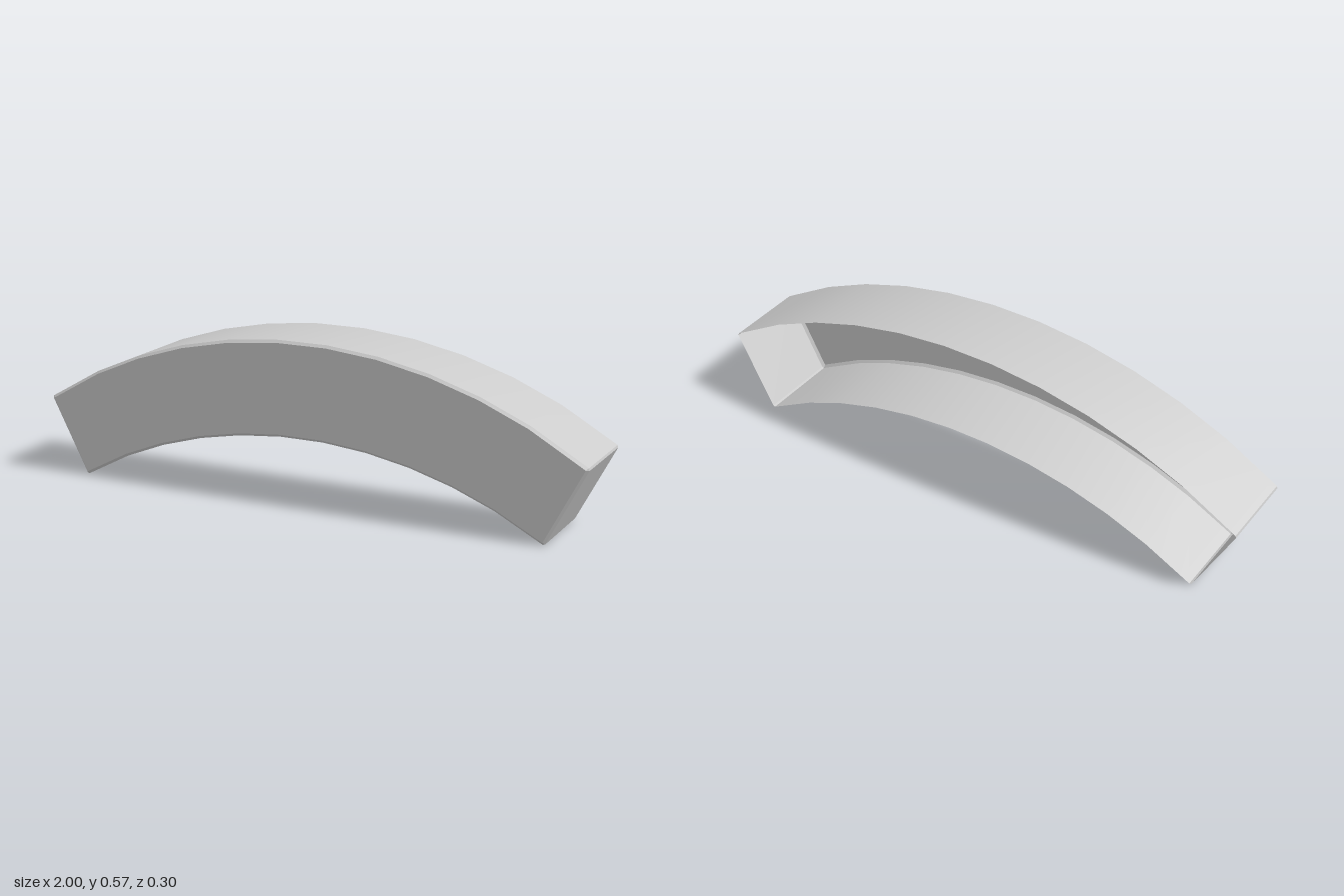
import * as THREE from 'three';
import { toCreasedNormals } from 'three/addons/utils/BufferGeometryUtils.js';

// Points along a circular arc through (±halfWidth, endY) with its crown at topY
function arc(halfWidth, endY, topY) {
  const rise = topY - endY;
  const radius = (halfWidth ** 2 + rise ** 2) / (2 * rise);
  const halfAngle = Math.asin(halfWidth / radius);
  const points = [];
  for (let i = 0; i <= 11; i++) {
    const t = i === 0 ? -1 : i === 11 ? 1 : ((i - 5.5) / 4.5) * 0.785;
    const a = t * halfAngle;
    points.push(new THREE.Vector2(radius * Math.sin(a), topY - radius + radius * Math.cos(a)));
  }
  return points;
}

// Replaces every sharp corner of a closed outline with a small chamfer
function chamferCorners(points, size) {
  const n = points.length;
  return points.flatMap((p, i) => {
    const toPrev = points[(i + n - 1) % n].clone().sub(p).normalize();
    const toNext = points[(i + 1) % n].clone().sub(p).normalize();
    if (toPrev.dot(toNext) < -0.7) return [p];
    return [p.clone().addScaledVector(toPrev, size), p.clone().addScaledVector(toNext, size)];
  });
}

// Moves a counter-clockwise outline inwards by d
function inset(points, d) {
  const n = points.length;
  return points.map((p, i) => {
    const a = p.clone().sub(points[(i + n - 1) % n]).normalize();
    const b = points[(i + 1) % n].clone().sub(p).normalize();
    const inward = new THREE.Vector2(-a.y - b.y, a.x + b.x).normalize();
    const miter = d / (-a.y * inward.x + a.x * inward.y);
    return p.clone().addScaledVector(inward, miter);
  });
}

export function createModel() {
  const group = new THREE.Group();
  group.name = 'curvedHandleCover';

  const outline = chamferCorners([...arc(0.862, 0, 0.24), ...arc(1.003, 0.272, 0.573).reverse()], 0.006);
  const front = inset(outline, 0.009);

  // Wall rings from the open back to the bevelled front edge
  const rings = [
    { points: outline, z: -0.149 },
    { points: outline, z: 0.141 },
    { points: front, z: 0.15 },
  ];
  const n = outline.length;
  const positions = rings.flatMap(({ points, z }) => points.flatMap((p) => [p.x, p.y, z]));
  const index = [];
  for (let r = 0; r < rings.length - 1; r++) {
    for (let i = 0; i < n; i++) {
      const j = (i + 1) % n;
      const a = r * n + i, b = r * n + j;
      index.push(a, b, b + n, a, b + n, a + n);
    }
  }

  // Flat front face; the back stays open
  const start = (rings.length - 1) * n;
  for (const [a, b, c] of THREE.ShapeUtils.triangulateShape(front, [])) {
    index.push(start + a, start + b, start + c);
  }

  const geometry = new THREE.BufferGeometry();
  geometry.setAttribute('position', new THREE.Float32BufferAttribute(positions, 3));
  geometry.setIndex(index);

  const material = new THREE.MeshStandardMaterial({ color: 0xcccccc, side: THREE.DoubleSide });
  const shell = new THREE.Mesh(toCreasedNormals(geometry, 0.5), material);
  shell.name = 'archedShell';
  group.add(shell);
  return group;
}
